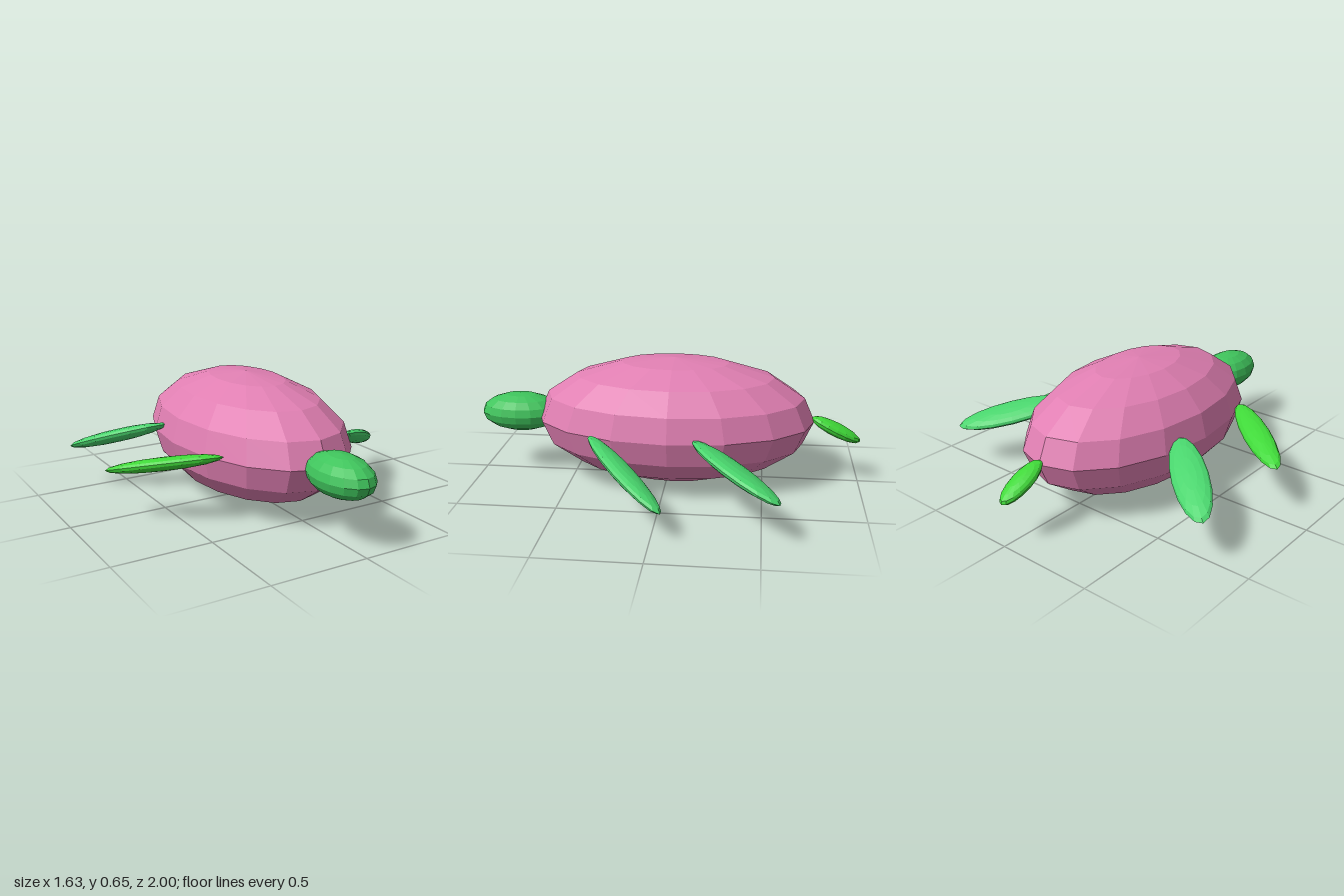
import * as THREE from 'three';

const PINK = 0xe07fb2, SEA = 0x48d46c, HEAD = 0x3fc45c, BRIGHT = 0x3fd838;

// Faceted ellipsoid with the given half-sizes
function ellipsoid(name, color, rx, ry, rz) {
  const geometry = new THREE.SphereGeometry(1, 16, 8);
  geometry.scale(rx, ry, rz);
  const mesh = new THREE.Mesh(geometry, new THREE.MeshStandardMaterial({ color, flatShading: true }));
  mesh.name = name;
  return mesh;
}

// Flat paddle from root to tip; roll lifts one long edge
function paddle(name, color, root, tip, width, thickness, roll) {
  const a = new THREE.Vector3(...root), b = new THREE.Vector3(...tip);
  const dir = b.clone().sub(a);
  const mesh = ellipsoid(name, color, dir.length() / 2, thickness, width);
  dir.normalize();
  const side = dir.clone().cross(new THREE.Vector3(0, 1, 0)).normalize().applyAxisAngle(dir, -roll);
  if (roll !== 0) {
    // keep the lifted edge above the level plane
    if (Math.sign(side.y) !== Math.sign(roll)) side.applyAxisAngle(dir, 2 * roll);
  }
  const normal = side.clone().cross(dir);
  mesh.quaternion.setFromRotationMatrix(new THREE.Matrix4().makeBasis(dir, normal, side));
  mesh.position.copy(a.add(b).multiplyScalar(0.5));
  return mesh;
}

export function createModel() {
  const model = new THREE.Group();
  model.name = 'turtle';

  // Shell
  const shell = ellipsoid('shell', PINK, 0.43, 0.323, 0.725);
  shell.position.set(0, 0.325, -0.035);

  // Head
  const head = ellipsoid('head', HEAD, 0.13, 0.102, 0.21);
  head.position.set(0, 0.328, 0.79);

  model.add(
    shell,
    head,
    // Tail
    paddle('tail', BRIGHT, [0, 0.345, -0.745], [0, 0.223, -1], 0.058, 0.035, 0),
    // Flippers, front edges raised
    paddle('frontLeftFlipper', SEA, [0.39, 0.345, 0.345], [0.81, 0.145, -0.05], 0.068, 0.034, 0.3),
    paddle('backLeftFlipper', SEA, [0.405, 0.345, -0.165], [0.81, 0.213, -0.575], 0.088, 0.034, 0.3),
    paddle('frontRightFlipper', BRIGHT, [-0.36, 0.35, 0.36], [-0.815, 0.26, 0.01], 0.068, 0.034, -0.3),
    paddle('backRightFlipper', SEA, [-0.385, 0.375, -0.2], [-0.79, 0.225, -0.555], 0.088, 0.034, -0.3),
  );
  return model;
}
